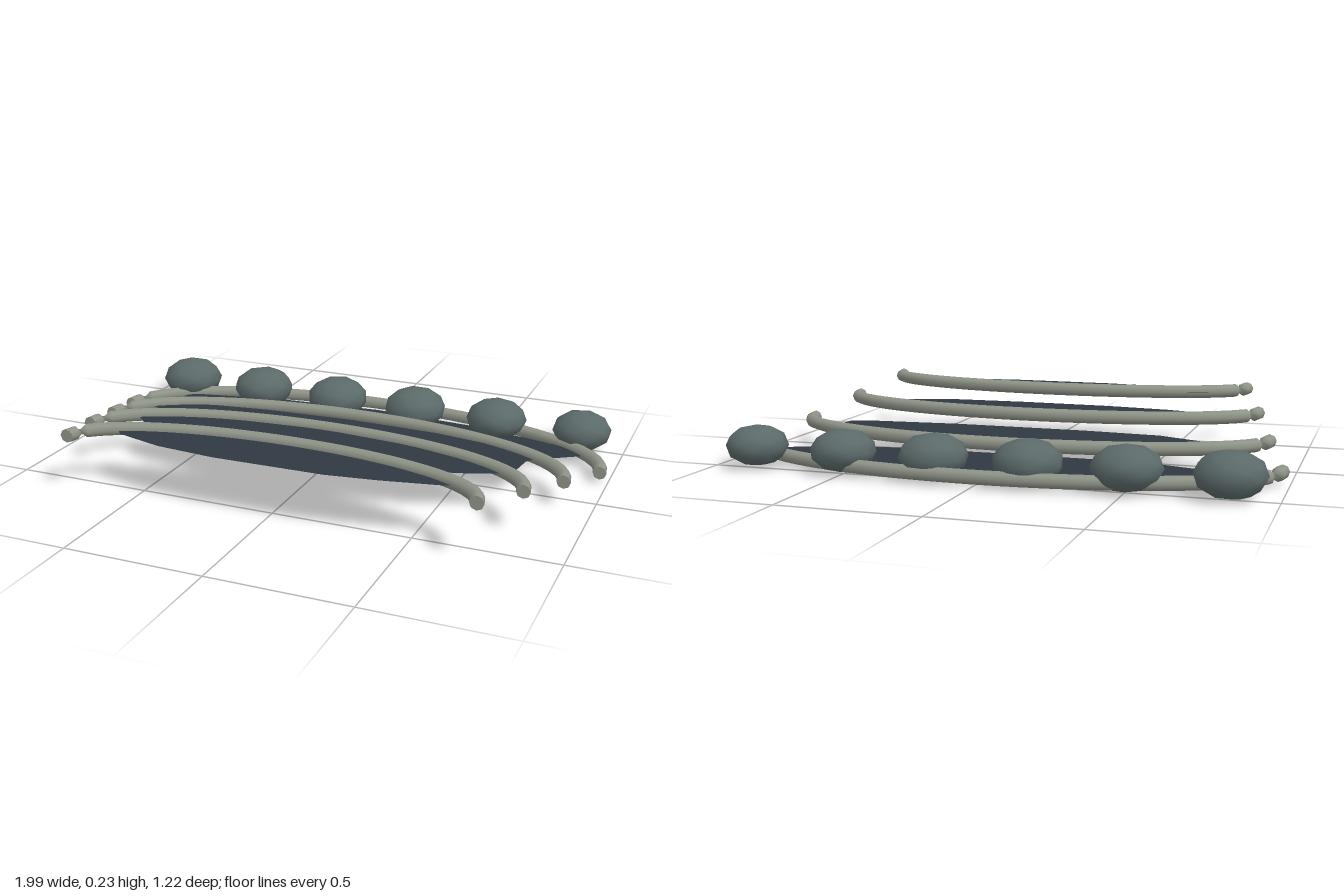
import * as THREE from 'three';

const mat = (name, color, side = THREE.FrontSide) => {
  const m = new THREE.MeshStandardMaterial({ color, side });
  m.name = name;
  return m;
};

const SEGMENTS = 40, SIDES = 8, RADIUS = 0.025;

// Half ellipse running from the left tip (+x) round the back to the right tip
class RimCurve extends THREE.Curve {
  constructor(a, b, y, z) {
    super();
    Object.assign(this, { a, b, y, z });
  }
  getPoint(t, target = new THREE.Vector3()) {
    const k = t * Math.PI;
    return target.set(this.a * Math.cos(k), this.y, this.z - this.b * Math.sin(k));
  }
}

// Tube whose last two rings are twisted, pinching it near the right tip
function rimGeometry(curve) {
  const geo = new THREE.TubeGeometry(curve, SEGMENTS, RADIUS, SIDES);
  const pos = geo.attributes.position, nor = geo.attributes.normal;
  const v = new THREE.Vector3();
  for (let i = SEGMENTS - 1; i <= SEGMENTS; i++) {
    const c = curve.getPointAt(i / SEGMENTS), axis = curve.getTangentAt(i / SEGMENTS);
    for (let j = 0; j <= SIDES; j++) {
      const k = i * (SIDES + 1) + j;
      v.fromBufferAttribute(pos, k).sub(c).applyAxisAngle(axis, 2.3).add(c);
      pos.setXYZ(k, v.x, v.y, v.z);
      v.fromBufferAttribute(nor, k).applyAxisAngle(axis, 2.3);
      nor.setXYZ(k, v.x, v.y, v.z);
    }
  }
  return geo;
}

// Terraces from back to front: rim half width, depth, height, tip z, pool outline [x, z]
const TERRACES = [
  { a: 0.97, b: 0.4, y: 0.045, z: -0.19, pool: [
    [-0.84, -0.28], [-0.8, -0.4], [-0.4, -0.48], [0, -0.51], [0.4, -0.48], [0.65, -0.43], [0.82, -0.39],
    [0.88, -0.33], [0.79, -0.27], [0.6, -0.21], [0.45, -0.18], [0, -0.17], [-0.5, -0.18]] },
  { a: 0.895, b: 0.345, y: 0.1, z: 0.07, pool: [
    [-0.8, -0.07], [-0.64, -0.16], [-0.35, -0.2], [0, -0.22], [0.35, -0.21], [0.6, -0.17], [0.75, -0.09],
    [0.73, -0.06], [0.72, 0.02], [0.65, 0.05], [0.3, 0.08], [-0.2, 0.08], [-0.5, 0.06], [-0.66, -0.01]] },
  { a: 0.82, b: 0.295, y: 0.158, z: 0.335, pool: [
    [-0.69, 0.2], [-0.6, 0.15], [-0.35, 0.09], [0, 0.06], [0.35, 0.09], [0.66, 0.17], [0.72, 0.21],
    [0.6, 0.26], [0.4, 0.32], [0.1, 0.335], [-0.24, 0.33], [-0.48, 0.305], [-0.62, 0.27]] },
  { a: 0.74, b: 0.24, y: 0.213, z: 0.6, pool: [
    [-0.63, 0.45], [-0.6, 0.41], [-0.3, 0.38], [0, 0.37], [0.3, 0.38], [0.51, 0.42], [0.63, 0.5], [0.6, 0.51],
    [0.4, 0.55], [0.22, 0.575], [-0.18, 0.58], [-0.4, 0.56], [-0.58, 0.51]] },
];

export function createModel() {
  const model = new THREE.Group();
  model.name = 'terracedPools';
  const rimStone = mat('paleStone', 0x8f9488);
  const water = mat('darkWater', 0x2f3841, THREE.DoubleSide);
  const rockStone = mat('greyRock', 0x5c6a6a);

  const add = (parent, name, geo, material) => {
    const mesh = new THREE.Mesh(geo, material);
    mesh.name = name;
    parent.add(mesh);
    return mesh;
  };

  for (const { a, b, y, z, pool } of TERRACES) {
    const terrace = new THREE.Group();
    terrace.name = 'terrace';
    model.add(terrace);

    // Curved rim with closed tips
    add(terrace, 'rim', rimGeometry(new RimCurve(a, b, y, z)), rimStone);
    for (const s of [-1, 1]) {
      add(terrace, 'rimTip', new THREE.CircleGeometry(RADIUS, SIDES), rimStone).position.set(s * a, y, z);
    }

    // Flat pool of water inside the rim
    const shape = new THREE.Shape(pool.map(([px, pz]) => new THREE.Vector2(px, -pz)));
    const surface = new THREE.ShapeGeometry(shape).rotateX(-Math.PI / 2);
    add(terrace, 'pool', surface, water).position.y = y;
  }

  // Row of squashed boulders along the back
  const radii = [0.122, 0.122, 0.122, 0.122, 0.117, 0.112];
  radii.forEach((r, i) => {
    const rock = add(model, 'boulder', new THREE.IcosahedronGeometry(1, 1), rockStone);
    rock.position.set(-0.84 + i * 0.336, 0.087, -0.49);
    rock.scale.set(r, r * 0.66, r);
    rock.rotation.y = i * 0.7;
  });

  return model;
}
